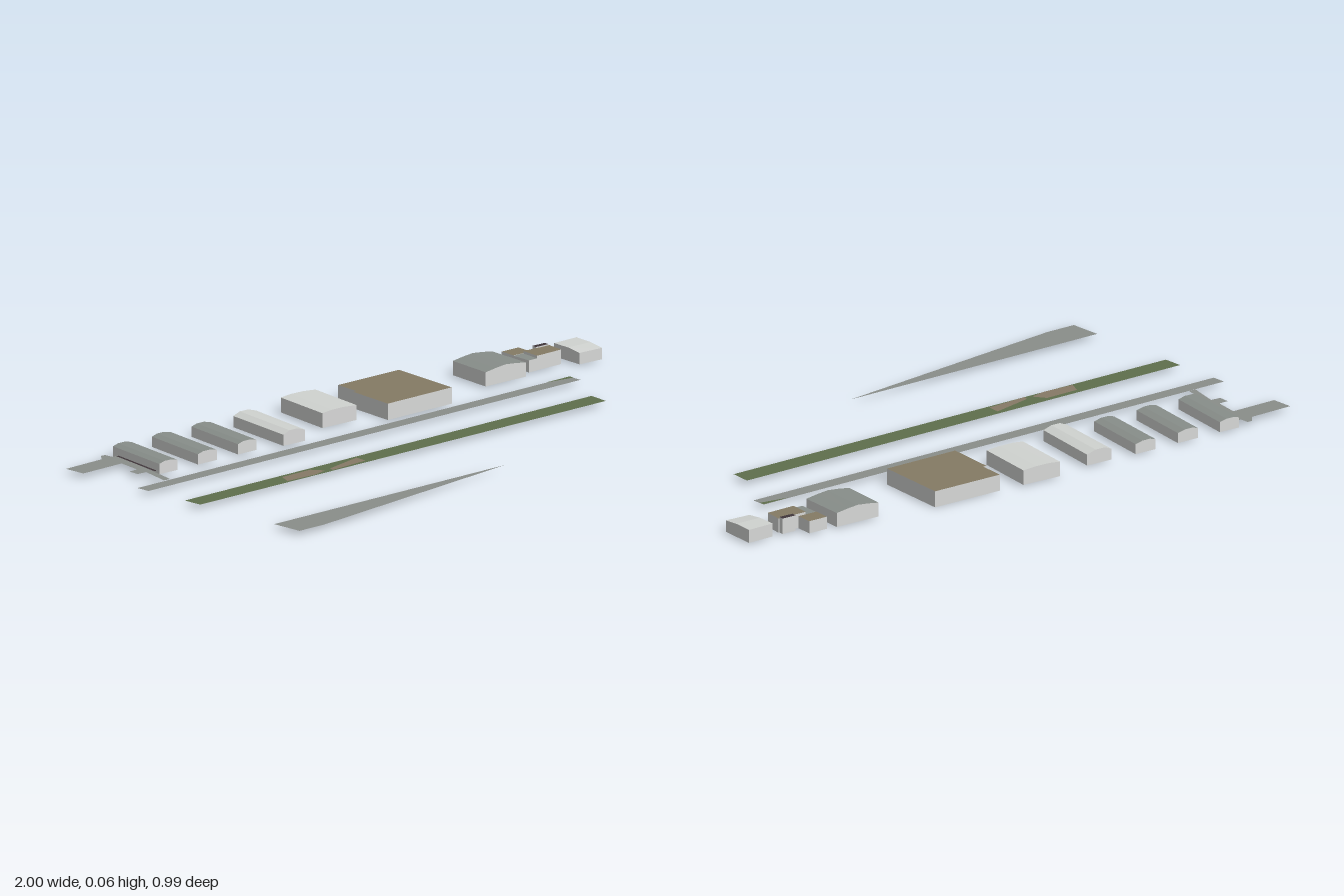
import * as THREE from 'three';

const mat = (name, color) => {
  const m = new THREE.MeshStandardMaterial({ color, side: THREE.DoubleSide });
  m.name = name;
  return m;
};

export function createModel() {
  const root = new THREE.Group();
  root.name = 'airfield';
  const wall = mat('wall grey', 0xd8d9d8);
  const paleRoof = mat('pale roof', 0xd0d3d0);
  const greyRoof = mat('grey roof', 0x888e8a);
  const brownRoof = mat('brown roof', 0x857b64);
  const paving = mat('paving', 0x8a8e8a);
  const grass = mat('grass', 0x5f6f4c);
  const earth = mat('bare earth', 0x877a66);
  const dark = mat('dark trim', 0x40363a);
  const BASE = 0.004;
  const GROUND = 0.014;

  const add = (parent, name, geometry, material) => {
    const mesh = new THREE.Mesh(geometry, material);
    mesh.name = name;
    parent.add(mesh);
  };

  // Flat polygon lying at height y; points are [x, z]
  const flat = (parent, name, pts, y, material) => {
    const shape = new THREE.Shape(pts.map(([x, z]) => new THREE.Vector2(x, -z)));
    add(parent, name, new THREE.ShapeGeometry(shape).rotateX(-Math.PI / 2).translate(0, y, 0), material);
  };

  // Flat-shaded surface from polygons, each split as a fan
  const surface = (polys) => {
    const pos = [];
    for (const p of polys)
      for (let i = 1; i < p.length - 1; i++) pos.push(...p[0], ...p[i], ...p[i + 1]);
    const g = new THREE.BufferGeometry();
    g.setAttribute('position', new THREE.Float32BufferAttribute(pos, 3));
    g.computeVertexNormals();
    return g;
  };

  // Flat-roofed building; outline runs clockwise from above
  const block = (name, pts, base, h, roof) => {
    const group = new THREE.Group();
    group.name = name;
    const sides = pts.map(([x, z], i) => {
      const [u, w] = pts[(i + 1) % pts.length];
      return [[x, base, z], [x, h, z], [u, h, w], [u, base, w]];
    });
    add(group, 'walls', surface(sides), wall);
    flat(group, 'roof', pts, h, roof);
    flat(group, 'floor', pts, base, roof);
    root.add(group);
  };

  // Hangar: corners back left, back right, front right, front left;
  // profile is [fraction across, height]
  const hangar = (name, [bl, br, fr, fl], profile, roof) => {
    const group = new THREE.Group();
    group.name = name;
    const across = (a, b, t, y) => [a[0] + (b[0] - a[0]) * t, y, a[1] + (b[1] - a[1]) * t];
    const back = profile.map(([t, y]) => across(bl, br, t, y));
    const front = profile.map(([t, y]) => across(fl, fr, t, y));
    const low = ([x, z]) => [x, BASE, z];
    const n = profile.length - 1;
    add(group, 'walls', surface([
      [low(fl), low(fr), ...[...front].reverse()],
      [low(br), low(bl), ...back],
      [low(bl), low(fl), front[0], back[0]],
      [low(fr), low(br), back[n], front[n]],
    ]), wall);
    const strips = [];
    for (let i = 0; i < n; i++) strips.push([front[i], front[i + 1], back[i + 1], back[i]]);
    add(group, 'roof', surface(strips), roof);
    flat(group, 'floor', [bl, br, fr, fl], BASE, roof);
    root.add(group);
  };

  const arch = (eave, top) => [[0, eave], [0.28, top], [0.65, top], [1, eave]];

  // Row of hangars
  hangar('hangar1', [[-0.78, -0.487], [-0.708, -0.476], [-0.752, -0.245], [-0.823, -0.257]], arch(0.037, 0.043), greyRoof);
  hangar('hangar2', [[-0.625, -0.465], [-0.55, -0.454], [-0.593, -0.224], [-0.668, -0.236]], arch(0.037, 0.043), greyRoof);
  hangar('hangar3', [[-0.465, -0.444], [-0.39, -0.433], [-0.433, -0.203], [-0.507, -0.214]], arch(0.037, 0.043), greyRoof);
  hangar('hangar4', [[-0.304, -0.415], [-0.214, -0.401], [-0.262, -0.155], [-0.347, -0.169]], arch(0.04, 0.05), paleRoof);
  hangar('wideHangar', [[-0.091, -0.409], [0.043, -0.385], [0.006, -0.182], [-0.128, -0.204]], arch(0.052, 0.056), paleRoof);
  hangar('vaultedHall', [[0.553, -0.273], [0.709, -0.249], [0.692, -0.095], [0.532, -0.118]],
    [[0, 0.05], [0.25, 0.056], [0.5, 0.06], [0.75, 0.056], [1, 0.05]], greyRoof);
  // Its roof slopes down to the front, so the profile runs front to back
  hangar('endBuilding', [[0.898, -0.057], [0.908, -0.171], [1, -0.161], [0.984, -0.041]],
    [[0, 0.041], [0.45, 0.047], [1, 0.047]], paleRoof);

  // Large flat-roofed terminal with a small step in its left side
  block('terminal', [[0.122, -0.363], [0.366, -0.329], [0.338, -0.085], [0.079, -0.118], [0.1, -0.28], [0.112, -0.278]], 0, 0.053, brownRoof);

  // Small cluster beside the hall
  block('clusterBack', [[0.741, -0.239], [0.808, -0.23], [0.802, -0.175], [0.735, -0.185]], BASE, 0.044, brownRoof);
  block('clusterSide', [[0.735, -0.185], [0.773, -0.179], [0.764, -0.112], [0.73, -0.117]], BASE, 0.043, greyRoof);
  block('clusterFront', [[0.773, -0.177], [0.873, -0.161], [0.863, -0.102], [0.764, -0.113]], BASE, 0.051, brownRoof);
  block('clusterTower', [[0.823, -0.185], [0.872, -0.177], [0.869, -0.16], [0.82, -0.168]], BASE, 0.055, dark);

  // Paved strips
  flat(root, 'taxiway', [[-1, -0.189], [0.757, 0.027], [0.756, 0.075], [-1, -0.143]], GROUND, paving);
  flat(root, 'taxiwayEdge', [[0.66, 0.0155], [0.757, 0.0275], [0.757, 0.045]], GROUND + 0.001, grass);
  flat(root, 'apron', [[-1, -0.485], [-0.851, -0.47], [-0.828, -0.495], [-0.811, -0.492], [-0.811, -0.463],
    [-0.79, -0.458], [-0.864, -0.175], [-0.888, -0.179], [-0.86, -0.278], [-0.893, -0.284],
    [-0.89, -0.321], [-0.858, -0.317], [-0.843, -0.395], [-1, -0.413]], GROUND + 0.001, paving);
  flat(root, 'apronKerb', [[-0.8, -0.455], [-0.791, -0.454], [-0.829, -0.262], [-0.838, -0.263]], GROUND + 0.002, dark);
  flat(root, 'runwayCorner', [[-1, 0.377], [-0.06, 0.495], [-0.9, 0.495], [-1, 0.482]], GROUND, paving);

  // Grass strip with bare patches
  flat(root, 'grassStrip', [[-1, 0.007], [0.652, 0.212], [0.644, 0.28], [-1, 0.071]], GROUND, grass);
  flat(root, 'earthPatch1', [[-0.62, 0.07], [-0.505, 0.083], [-0.48, 0.123], [-0.53, 0.129], [-0.64, 0.11]], GROUND + 0.0015, earth);
  flat(root, 'earthPatch2', [[-0.455, 0.12], [-0.315, 0.105], [-0.32, 0.147], [-0.46, 0.137]], GROUND + 0.0015, earth);
  return root;
}
